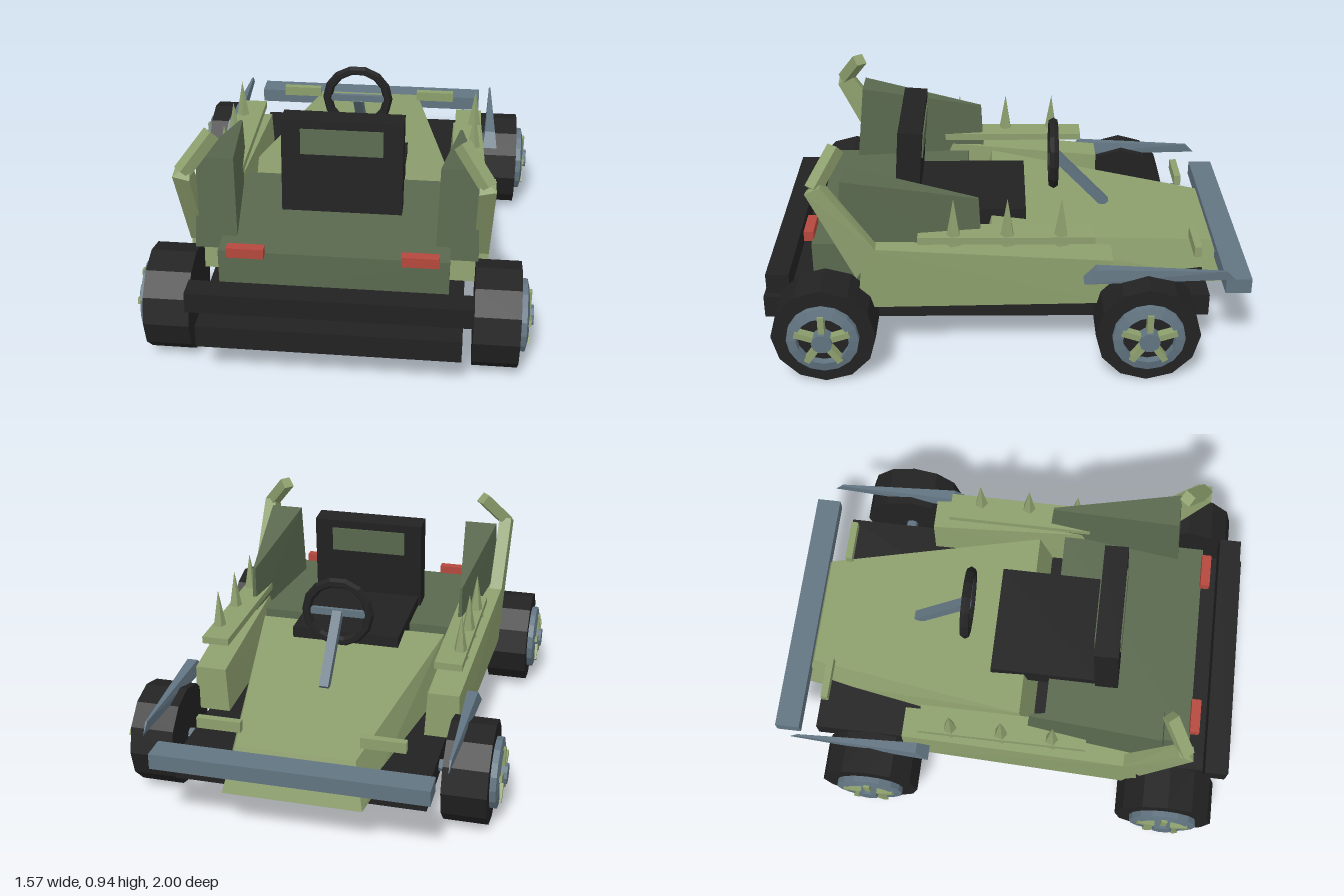
import * as THREE from 'three';
import { ConvexGeometry } from 'three/addons/geometries/ConvexGeometry.js';

const paint = (name, color) => {
  const m = new THREE.MeshStandardMaterial({ color });
  m.name = name;
  return m;
};

export function createModel() {
  const kart = new THREE.Group();
  kart.name = 'kart';
  const green = paint('light green', 0x8d9f6d);
  const dark = paint('dark green', 0x5a694f);
  const slate = paint('slate', 0x627582);
  const black = paint('black', 0x222222);
  const red = paint('red', 0xb5483d);

  // Faceted mesh from any geometry
  function add(name, geometry, material, parent = kart) {
    const g = geometry.index ? geometry.toNonIndexed() : geometry;
    g.computeVertexNormals();
    const mesh = new THREE.Mesh(g, material);
    mesh.name = name;
    parent.add(mesh);
    return mesh;
  }
  // Box given by its limits on each axis
  function box(name, [x0, x1], [y0, y1], [z0, z1], material, parent) {
    const mesh = add(name, new THREE.BoxGeometry(x1 - x0, y1 - y0, z1 - z0), material, parent);
    mesh.position.set((x0 + x1) / 2, (y0 + y1) / 2, (z0 + z1) / 2);
    return mesh;
  }
  // Convex block from corner points, optionally mirrored in x
  function hull(name, corners, material, side = 1) {
    const points = corners.map(([x, y, z]) => new THREE.Vector3(x * side, y, z));
    return add(name, new ConvexGeometry(points), material);
  }
  const both = (corners) => corners.flatMap(([x, y, z]) => [[x, y, z], [-x, y, z]]);
  // Square bar between two points
  function bar(name, a, b, width, depth, material) {
    const from = new THREE.Vector3(...a), to = new THREE.Vector3(...b);
    const mesh = add(name, new THREE.BoxGeometry(width, depth, from.distanceTo(to)), material);
    mesh.position.copy(from).add(to).multiplyScalar(0.5);
    mesh.lookAt(to);
    return mesh;
  }

  // Chassis, tail deck and bumpers
  box('chassis', [-0.51, 0.51], [0.165, 0.26], [-0.84, 1], black);
  box('tailDeck', [-0.45, 0.45], [0.26, 0.475], [0.17, 0.795], dark);
  box('tailBumper', [-0.55, 0.55], [0.305, 0.39], [0.88, 0.975], black);
  box('noseBumper', [-0.55, 0.55], [0.295, 0.36], [-1, -0.895], slate);

  // Tapered nose cowl
  hull('noseCowl', both([
    [0.41, 0.49, 0.06], [0.43, 0.26, 0.12],
    [0.24, 0.372, -0.88], [0.28, 0.19, -0.94], [0.4, 0.24, -0.2],
  ]), green);

  // Seat
  box('seatCushion', [-0.235, 0.235], [0.42, 0.52], [-0.085, 0.38], black);
  const seatBack = new THREE.Group();
  seatBack.name = 'seatBack';
  seatBack.position.set(0, 0.675, 0.407);
  seatBack.rotation.x = -0.07;
  kart.add(seatBack);
  box('backrest', [-0.245, 0.245], [-0.2, 0.2], [-0.05, 0.05], black, seatBack);
  box('rearSeatPanel', [-0.168, 0.165], [0.055, 0.163], [0.05, 0.056], dark, seatBack);
  box('frontSeatPanel', [-0.168, 0.165], [0.055, 0.163], [-0.056, -0.05], dark, seatBack);

  // Steering wheel and column
  const rim = add('steeringWheel', new THREE.TorusGeometry(0.135, 0.021, 6, 14), black);
  rim.position.set(0, 0.67, -0.207);
  box('steeringSpoke', [-0.125, 0.125], [0.655, 0.685], [-0.215, -0.198], slate);
  bar('steeringColumn', [0, 0.67, -0.21], [0, 0.43, -0.44], 0.04, 0.04, slate);

  // Parts repeated on both sides
  for (const s of [1, -1]) {
    const span = (a, b) => (s > 0 ? [a, b] : [-b, -a]);

    hull('sidePod', [
      [0.43, 0.265, 0.6], [0.6, 0.265, 0.6], [0.45, 0.535, 0.57], [0.6, 0.535, 0.57],
      [0.42, 0.26, -0.43], [0.565, 0.26, -0.43], [0.43, 0.455, -0.43], [0.56, 0.455, -0.43],
    ], green, s);

    // Tall wedge beside the seat
    hull('sideWing', [
      [0.465, 0.695, 0.11], [0.475, 0.695, 0.11], [0.46, 0.48, 0.1], [0.48, 0.48, 0.1],
      [0.4, 0.805, 0.65], [0.545, 0.805, 0.65], [0.39, 0.42, 0.69], [0.56, 0.42, 0.69],
    ], dark, s);

    // Bent horn at the tail
    hull('hornBase', [
      [0.545, 0.53, 0.52], [0.6, 0.53, 0.52], [0.54, 0.4, 0.6], [0.6, 0.4, 0.6],
      [0.55, 0.82, 0.72], [0.605, 0.81, 0.72], [0.545, 0.77, 0.78], [0.61, 0.785, 0.78],
    ], green, s);
    bar('hornTip', [0.58 * s, 0.79, 0.75], [0.475 * s, 0.92, 0.665], 0.05, 0.05, green);

    // Spiked rail
    box('spikeRail', span(0.44, 0.555), [0.53, 0.56], [-0.355, 0.355], green);
    for (const z of [0.21, -0.005, -0.22]) {
      const spike = add('spike', new THREE.ConeGeometry(0.036, 0.2, 5), green);
      spike.position.set(0.525 * s, 0.62, z);
    }

    // Blade fender over the nose wheel
    hull('fenderBlade', [
      [0.57, 0.39, -0.31], [0.635, 0.39, -0.31], [0.58, 0.45, -0.36], [0.625, 0.45, -0.36],
      [0.597, 0.43, -0.88], [0.605, 0.43, -0.88], [0.6, 0.39, -0.92],
    ], slate, s);

    box('noseTab', span(0.24, 0.42), [0.39, 0.435], [-0.81, -0.78], green);
    box('tailLight', span(0.265, 0.41), [0.468, 0.51], [0.79, 0.83], red);

    // Wheels, modelled facing +x
    for (const z of [0.73, -0.565]) {
      const wheel = new THREE.Group();
      wheel.name = 'wheel';
      wheel.position.set(0, 0.21, z);
      if (s < 0) wheel.rotation.y = Math.PI;
      kart.add(wheel);
      const disc = (name, r, x0, x1, sides, material) => {
        const g = new THREE.CylinderGeometry(r, r, x1 - x0, sides).rotateZ(-Math.PI / 2);
        add(name, g, material, wheel).position.x = (x0 + x1) / 2;
      };
      disc('tyre', 0.21, 0.55, 0.73, 12, black);
      disc('axle', 0.025, 0, 0.56, 8, slate);
      disc('hub', 0.042, 0.73, 0.785, 10, slate);
      const ring = [[0.105, 0.72], [0.145, 0.72], [0.145, 0.755], [0.105, 0.765], [0.105, 0.72]]
        .map(([r, x]) => new THREE.Vector2(r, x));
      add('wheelRim', new THREE.LatheGeometry(ring, 16).rotateZ(-Math.PI / 2), slate, wheel);
      for (let i = 0; i < 5; i++) {
        const g = new THREE.BoxGeometry(0.04, 0.09, 0.025).translate(0.753, 0.07, 0);
        add('wheelSpoke', g, green, wheel).rotation.x = (i * Math.PI * 2) / 5;
      }
    }
  }
  return kart;
}
